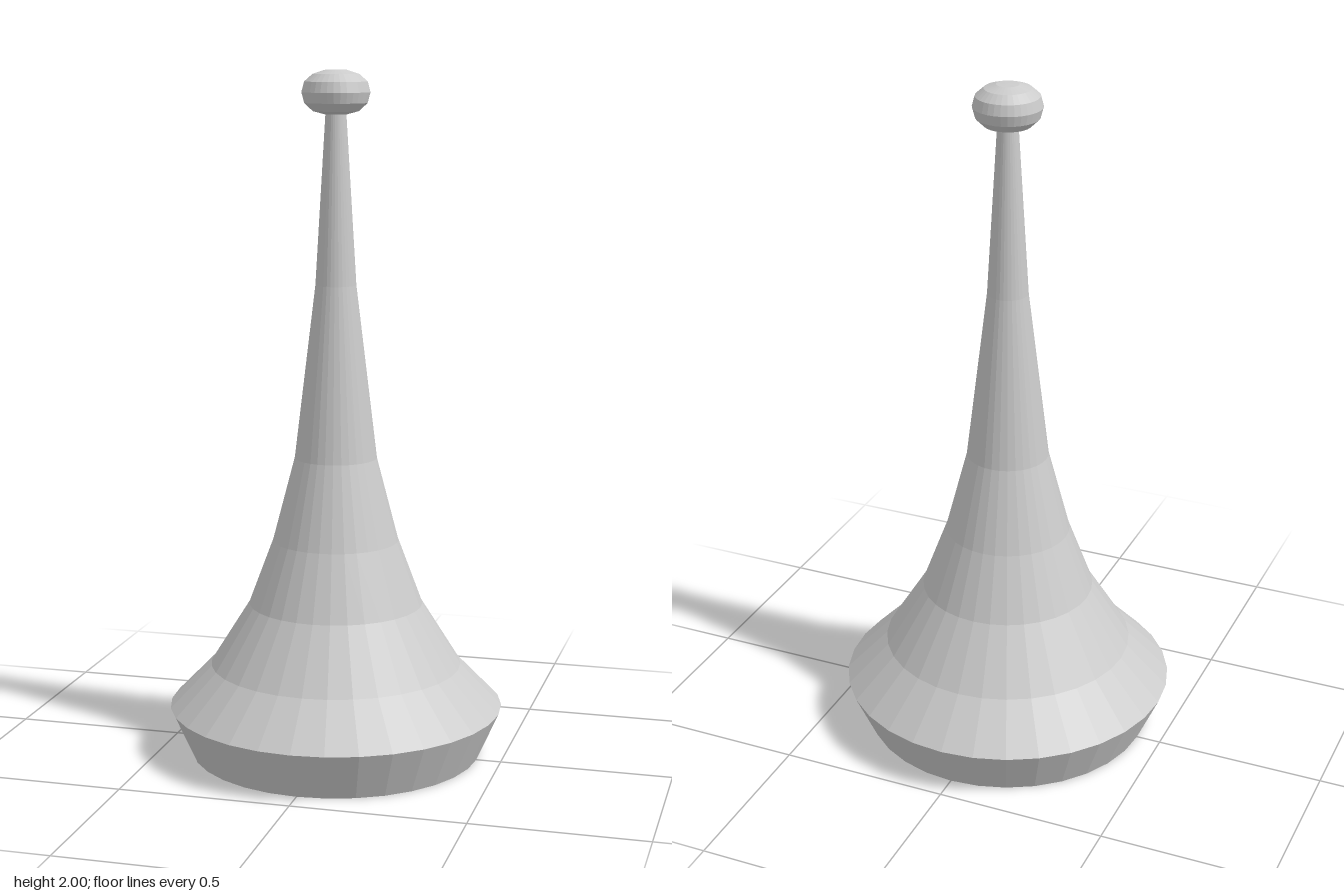
import * as THREE from 'three';

const SIDES = 32;

// Faceted solid of revolution from [radius, height] pairs, bottom to top
function turned(name, profile, material) {
  const points = profile.map(([r, y]) => new THREE.Vector2(r, y));
  const mesh = new THREE.Mesh(new THREE.LatheGeometry(points, SIDES), material);
  mesh.name = name;
  return mesh;
}

export function createModel() {
  const group = new THREE.Group();
  group.name = 'flaredSpire';
  const material = new THREE.MeshStandardMaterial({ color: 0xcccccc, flatShading: true });

  // Closed base with an outward-leaning rim
  group.add(turned('base', [[0, 0], [0.427, 0], [0.491, 0.143]], material));

  // Concave flare narrowing to a slim neck that ends inside the knob
  group.add(turned('spire', [
    [0.491, 0.143], [0.369, 0.268], [0.255, 0.45], [0.184, 0.64],
    [0.12, 0.885], [0.059, 1.39], [0.029, 1.89],
  ], material));

  // Flattened round knob
  group.add(turned('knob', [
    [0, 1.875], [0.032, 1.875], [0.066, 1.884], [0.09, 1.907], [0.098, 1.937],
    [0.09, 1.967], [0.066, 1.988], [0.032, 1.999], [0, 2],
  ], material));

  return group;
}
